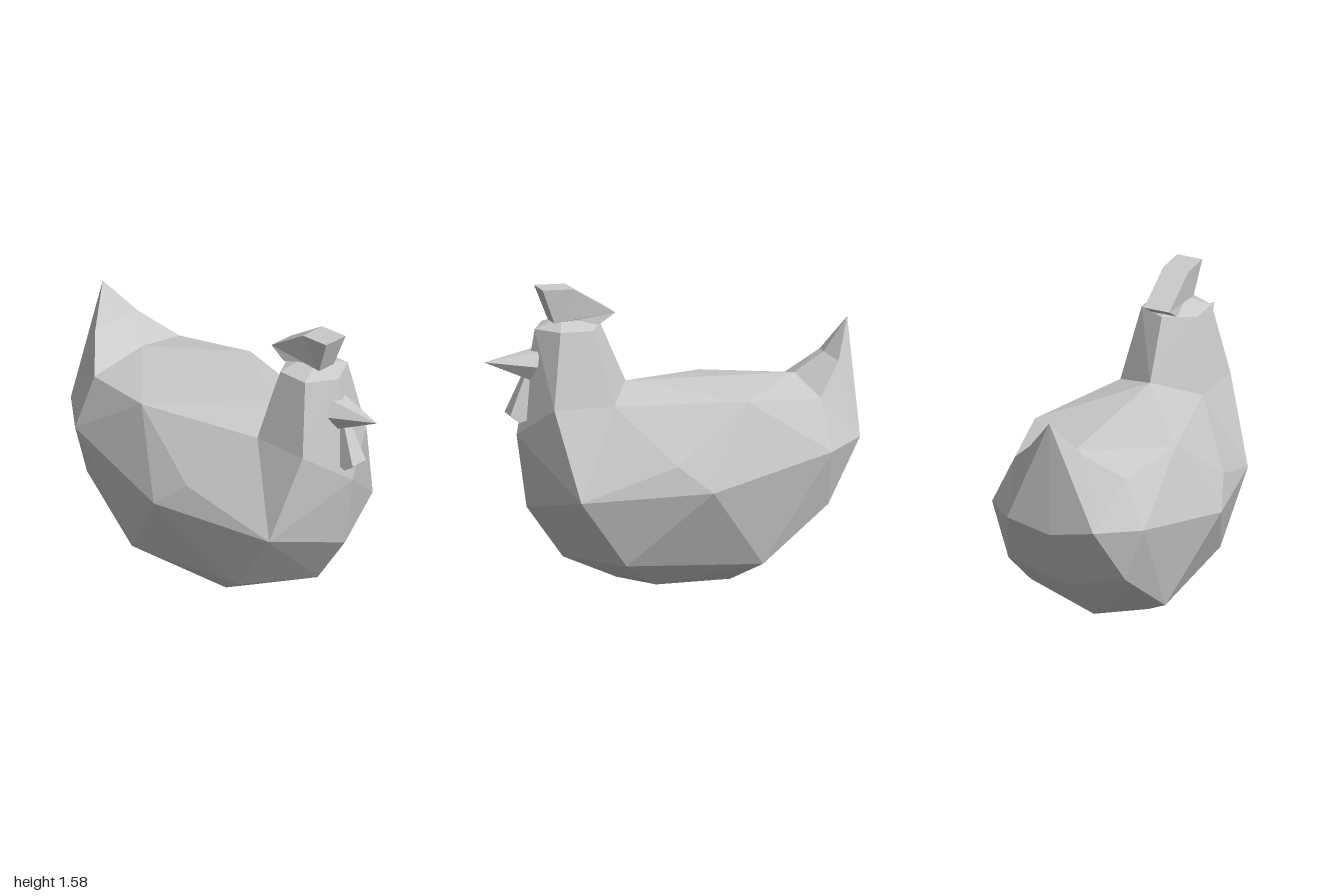
import * as THREE from 'three';
import { ConvexGeometry } from 'three/addons/geometries/ConvexGeometry.js';

const material = new THREE.MeshStandardMaterial({ color: 0xcccccc, flatShading: true });

// Corner points of the left half; points with x > 0 are mirrored.
const P = {
  chest: [0, 0.8, 0.82], keel: [0, 0.41, 0.765], keelLow: [0, 0.13, 0.565],
  bellyFront: [0, 0, 0.27], bellyBack: [0, 0, -0.46], rumpLow: [0, 0.3, -0.79], rump: [0, 0.67, -1],
  neckFront: [0.24, 0.97, 0.69], neckSide: [0.24, 0.97, 0.36], neckBack: [0, 1.05, 0.22],
  breast: [0.39, 0.495, 0.59], thigh: [0.355, 0.135, 0.33], footFront: [0.24, 0, 0.13],
  footBack: [0.23, 0, -0.28], hipLow: [0.39, 0.105, -0.41], hipBack: [0.34, 0.39, -0.785],
  wing: [0.56, 0.54, -0.085], wingFront: [0.49, 0.68, 0.09], shoulder: [0.41, 0.985, -0.32],
  flank: [0.44, 0.69, -0.775], tailEdge: [0.25, 0.72, -0.99], tailSide: [0.32, 0.955, -0.75],
  tailRoot: [0, 1.03, -0.71], tailDip: [0, 1.13, -0.87], tailRim: [0.16, 1.11, -0.9], tailTip: [0, 1.31, -1],
  faceTop: [0, 1.36, 0.72], cheekTop: [0.16, 1.365, 0.63], napeSide: [0.16, 1.365, 0.45], nape: [0, 1.37, 0.36],
  crownFront: [0, 1.42, 0.57], crownBack: [0, 1.42, 0.5],
};

function mesh(name, geometry) {
  const m = new THREE.Mesh(geometry, material);
  m.name = name;
  return m;
}

// Faceted solid spanned by the named points and their mirror images
function solid(name, names) {
  const points = [];
  for (const key of names.split(' ')) {
    const [x, y, z] = P[key];
    points.push(new THREE.Vector3(x, y, z));
    if (x > 0) points.push(new THREE.Vector3(-x, y, z));
  }
  return mesh(name, new ConvexGeometry(points));
}

// Side profile given as [z, y], with its half width set by a rule
function slab(name, profile, halfWidth) {
  const shape = new THREE.Shape(profile.map(([z, y]) => new THREE.Vector2(-z, y)));
  const g = new THREE.ExtrudeGeometry(shape, { depth: 2, bevelEnabled: false });
  g.translate(0, 0, -1).rotateY(Math.PI / 2);
  const p = g.attributes.position;
  for (let i = 0; i < p.count; i++) p.setX(i, p.getX(i) * halfWidth(p.getY(i), p.getZ(i)));
  g.computeVertexNormals();
  return mesh(name, g);
}

// Six-sided beak with a slanted base
function beak() {
  const g = new THREE.ConeGeometry(0.1, 0.28, 6);
  g.rotateY(Math.PI / 6).rotateX(Math.PI / 2);
  const p = g.attributes.position;
  for (let i = 0; i < p.count; i++) {
    const y = p.getY(i);
    const tip = p.getZ(i) > 0.1;
    p.setY(i, tip ? 1.2 : 1.175 + y * 0.87);
    p.setZ(i, tip ? 1 : 0.735 - y * 0.3);
  }
  g.computeVertexNormals();
  return mesh('beak', g);
}

export function createModel() {
  const group = new THREE.Group();
  group.name = 'hen';
  group.add(
    solid('body', 'chest keel keelLow bellyFront bellyBack rumpLow rump neckSide neckBack breast thigh ' +
      'footFront footBack hipLow hipBack wing wingFront shoulder flank tailEdge tailSide tailRoot'),
    solid('breast', 'chest keel neckFront neckSide breast'),
    solid('neckAndHead', 'chest neckFront neckSide neckBack faceTop cheekTop napeSide nape crownFront crownBack'),
    solid('tailBase', 'tailRoot tailDip tailRim tailSide tailEdge rump'),
    solid('tailFan', 'tailTip tailDip tailRim tailEdge rump'),
    slab('comb', [[0.7, 1.58], [0.53, 1.575], [0.3, 1.435], [0.39, 1.375], [0.52, 1.405], [0.63, 1.395]],
      (y, z) => (y < 1.42 && z > 0.45 ? 0.055 : 0.073)),
    slab('wattle', [[0.78, 1.12], [0.87, 0.915], [0.82, 0.875], [0.78, 0.885], [0.72, 1.1]],
      (y) => 0.024 + (1.12 - y) * 0.13),
    beak(),
  );
  return group;
}
